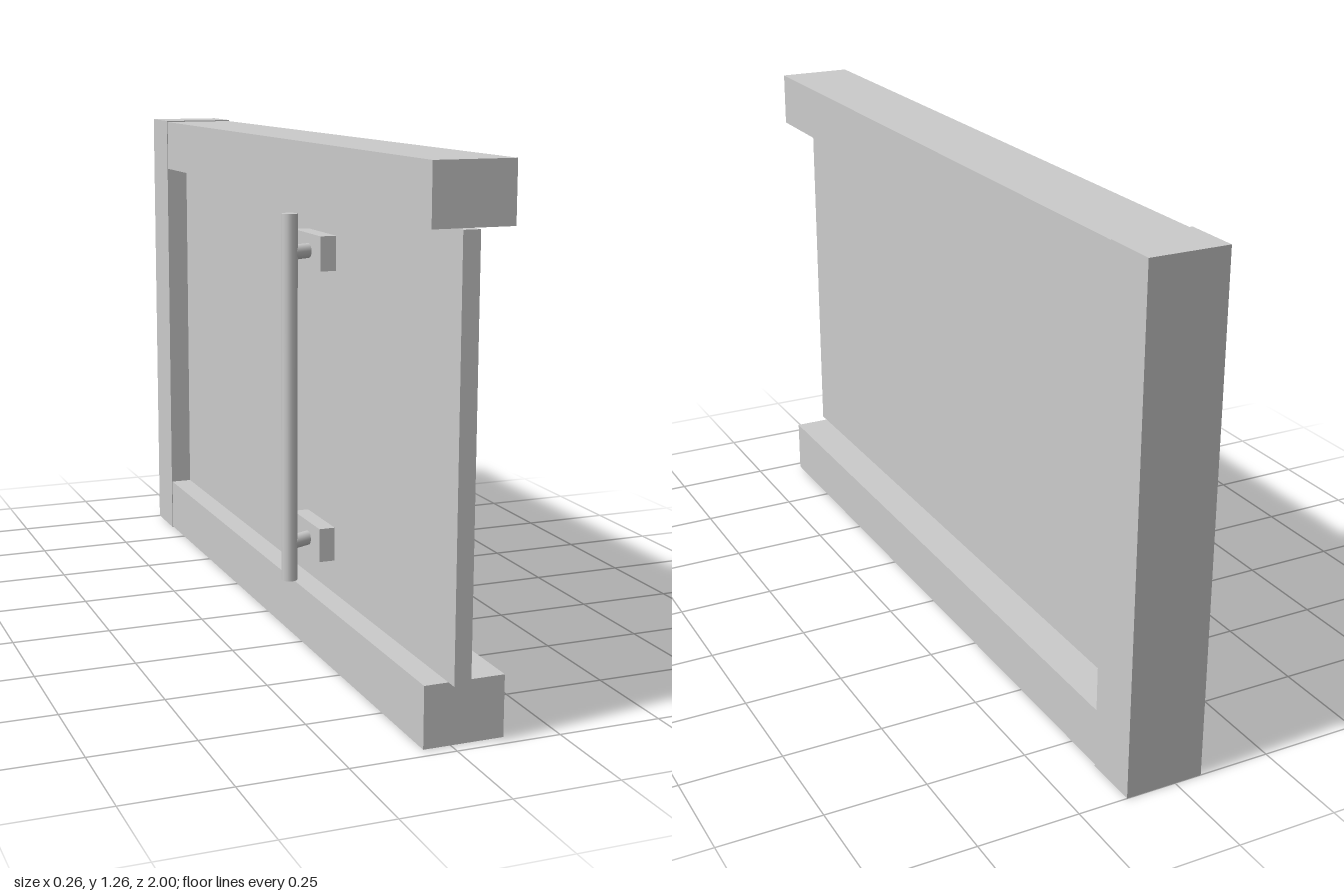
import * as THREE from 'three';

const material = new THREE.MeshStandardMaterial({ color: 0xcccccc });

// Box given by its minimum and maximum corners
function box(name, [x0, y0, z0], [x1, y1, z1]) {
  const mesh = new THREE.Mesh(new THREE.BoxGeometry(x1 - x0, y1 - y0, z1 - z0), material);
  mesh.name = name;
  mesh.position.set((x0 + x1) / 2, (y0 + y1) / 2, (z0 + z1) / 2);
  return mesh;
}

// Round rod between two points
function rod(name, from, to, radius, sides) {
  const a = new THREE.Vector3(...from);
  const dir = new THREE.Vector3(...to).sub(a);
  const mesh = new THREE.Mesh(new THREE.CylinderGeometry(radius, radius, dir.length(), sides), material);
  mesh.name = name;
  mesh.position.copy(a).addScaledVector(dir, 0.5);
  mesh.quaternion.setFromUnitVectors(new THREE.Vector3(0, 1, 0), dir.normalize());
  return mesh;
}

export function createModel() {
  const model = new THREE.Group();
  model.name = 'slidingPanel';

  // Three-sided frame, open at the front, with a slightly thicker rear post
  const frame = new THREE.Group();
  frame.name = 'frame';
  frame.add(
    box('rearPost', [-0.069, 0, -1], [0.127, 1.257, -0.86]),
    box('bottomRail', [-0.067, 0.002, -0.86], [0.125, 0.146, 0.972]),
    box('topRail', [-0.067, 1.115, -0.86], [0.125, 1.254, 0.972])
  );
  model.add(frame);

  // Thin panel held between the rails, standing a little proud at the front
  model.add(box('panel', [-0.01, 0.146, -0.86], [0.03, 1.115, 1]));

  // Pull handle: upright bar on two slanted stems with mounting plates
  const handle = new THREE.Group();
  handle.name = 'handle';
  handle.add(rod('handleBar', [-0.11, 0.178, 0.28], [-0.11, 1.086, 0.28], 0.02, 10));
  for (const y of [0.272, 0.992]) {
    handle.add(
      box('mountPlate', [-0.05, y - 0.042, 0.15], [-0.01, y + 0.042, 0.33]),
      rod('handleStem', [-0.04, y, 0.248], [-0.105, y, 0.278], 0.018, 12)
    );
  }
  model.add(handle);

  return model;
}
